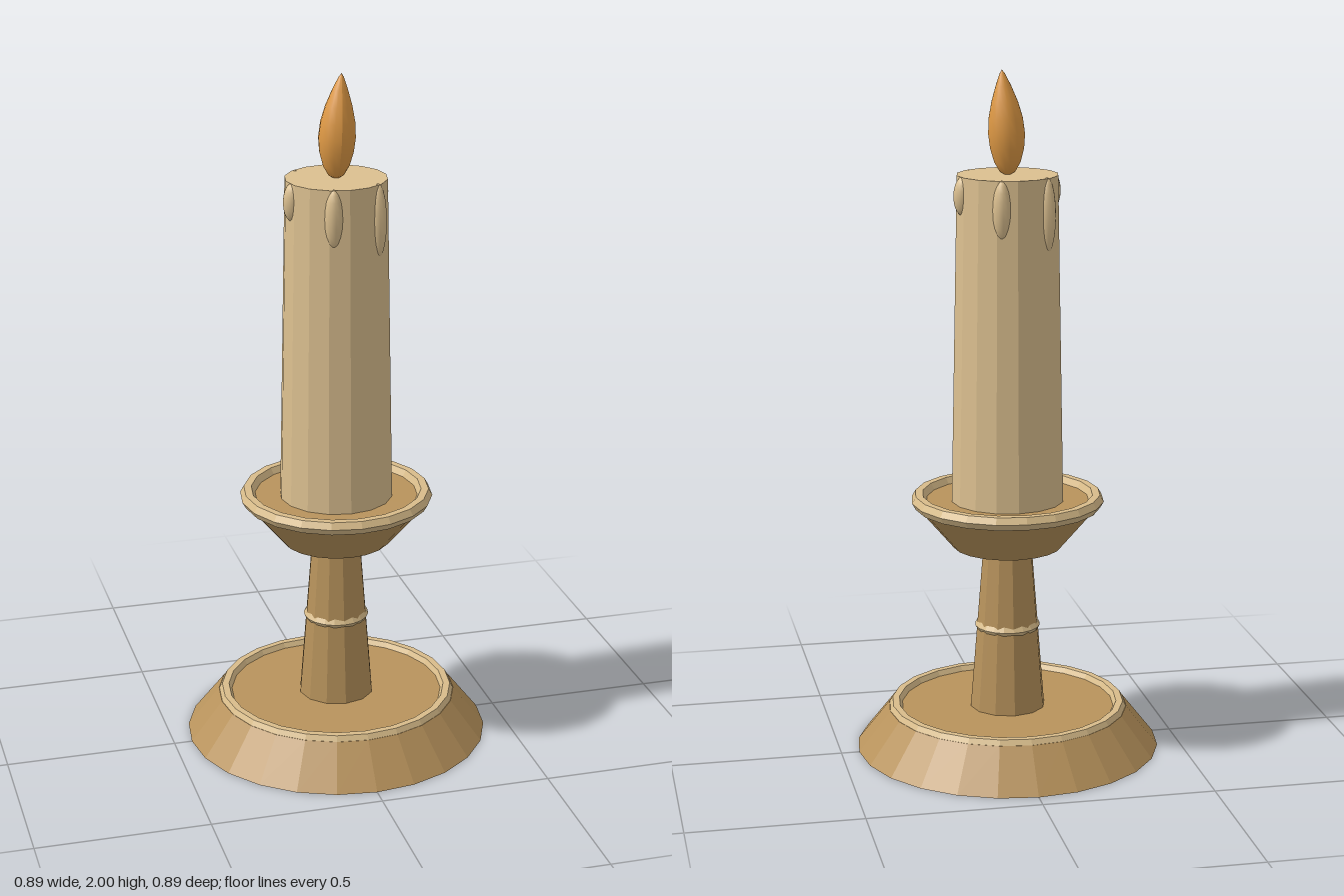
import * as THREE from 'three';

export function createModel() {
  const model = new THREE.Group();
  const flat = (name, color) => {
    const m = new THREE.MeshStandardMaterial({ color, flatShading: true });
    m.name = name;
    return m;
  };
  const smooth = (name, color) => {
    const m = new THREE.MeshStandardMaterial({ color });
    m.name = name;
    return m;
  };
  const brass = flat('brass', 0xb8935c);
  const paleBrass = flat('paleBrass', 0xd8bc8a);
  const wax = flat('wax', 0xdcc090);
  const dripWax = smooth('dripWax', 0xdcc090);
  const fire = smooth('fire', 0xe09a45);

  const add = (name, geometry, material, y = 0) => {
    const mesh = new THREE.Mesh(geometry, material);
    mesh.name = name;
    mesh.position.y = y;
    model.add(mesh);
    return mesh;
  };
  // Tapered round part standing between two heights
  const taper = (name, material, y0, r0, y1, r1, sides) =>
    add(name, new THREE.CylinderGeometry(r1, r0, y1 - y0, sides), material, (y0 + y1) / 2);
  // Six-sided ring lying flat
  const ring = (name, y, radius, tube, sides) =>
    add(name, new THREE.TorusGeometry(radius, tube, 6, sides).rotateX(Math.PI / 2), paleBrass, y);

  // Candlestick
  taper('base', brass, 0, 0.447, 0.12, 0.353, 24);
  ring('baseRim', 0.118, 0.333, 0.02, 24);
  taper('stem', brass, 0.12, 0.111, 0.587, 0.074, 12);
  ring('stemBand', 0.37, 0.062, 0.034, 20);
  taper('dish', brass, 0.612, 0.159, 0.752, 0.278, 20);
  ring('dishRim', 0.752, 0.26, 0.022, 20);

  // Candle
  taper('candle', wax, 0.752, 0.165, 1.705, 0.146, 16);

  // Wax drips: short, long and medium, repeated around the top
  const drips = [[1.65, 0.055], [1.598, 0.11], [1.622, 0.085]];
  for (let i = 0; i < 6; i++) {
    const [y, half] = drips[i % 3];
    const a = THREE.MathUtils.degToRad(-12 + i * 60);
    const drip = add('waxDrip', new THREE.SphereGeometry(1, 12, 10), dripWax, y);
    drip.scale.set(0.026, half, 0.026);
    drip.position.x = 0.138 * Math.cos(a);
    drip.position.z = 0.138 * Math.sin(a);
  }

  // Flame, its tip leaning slightly to the left
  const profile = [[0, 0], [0.022, 0.012], [0.038, 0.04], [0.049, 0.08], [0.053, 0.12],
    [0.049, 0.165], [0.038, 0.21], [0.022, 0.255], [0.008, 0.288], [0, 0.3]];
  const flame = new THREE.LatheGeometry(profile.map(([r, y]) => new THREE.Vector2(r, y)), 16);
  const p = flame.attributes.position;
  for (let i = 0; i < p.count; i++) p.setX(i, p.getX(i) + 0.016 * (p.getY(i) / 0.3) ** 2);
  flame.computeVertexNormals();
  add('flame', flame, fire, 1.7);

  return model;
}
